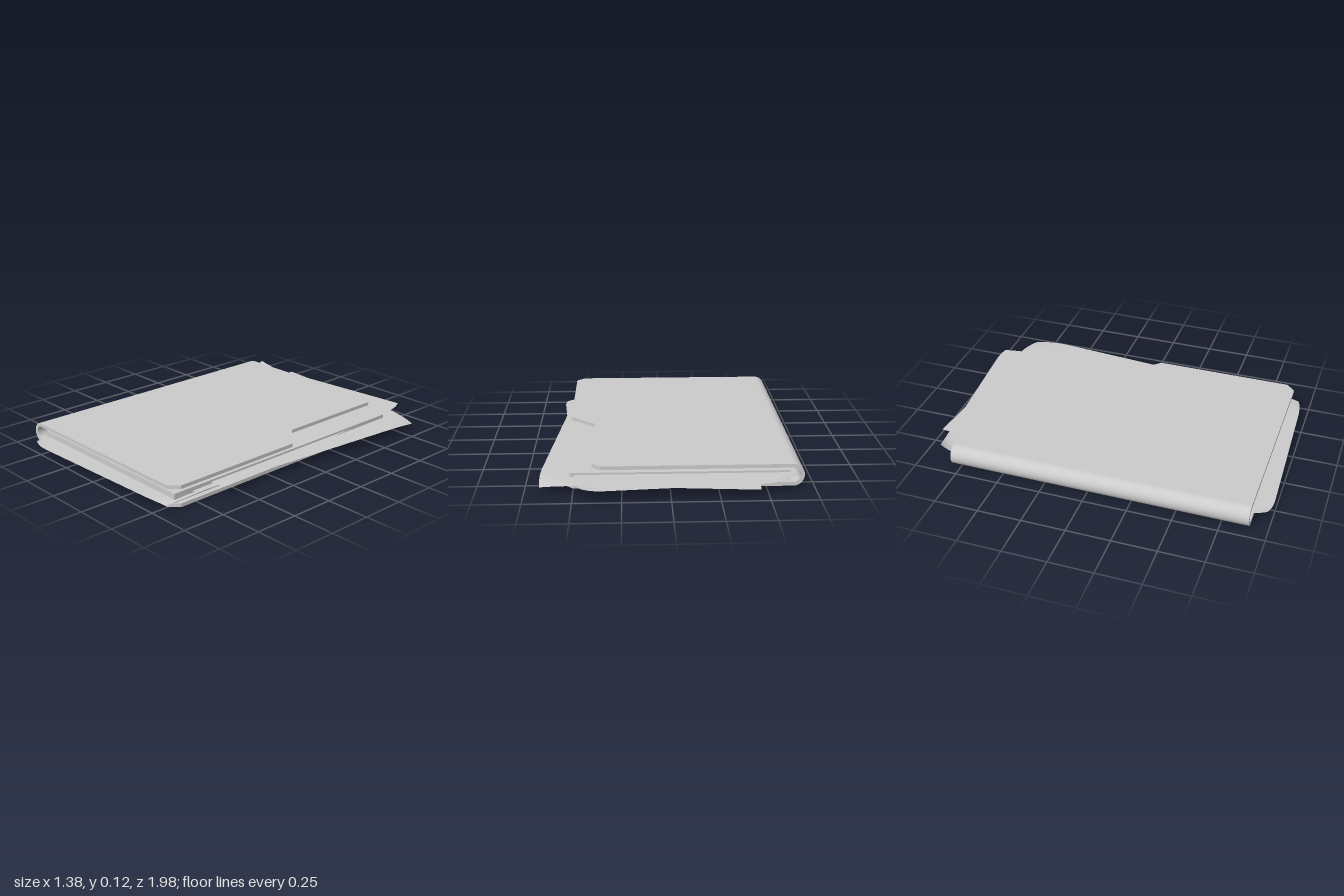
import * as THREE from 'three';

const material = new THREE.MeshStandardMaterial({ color: 0xcccccc });
const paper = new THREE.MeshStandardMaterial({ color: 0xcccccc, side: THREE.DoubleSide });

const BACK = -0.8, FRONT = 0.9, FOLD_X = -0.64, EDGE = 0.547;
const THICK = 0.02, RADIUS = 0.06;
const PAGE_W = 1.15, PAGE_L = 1.63;

function addMesh(group, name, geometry, mat = material) {
  const mesh = new THREE.Mesh(geometry, mat);
  mesh.name = name;
  group.add(mesh);
  return mesh;
}

// Flat board from an outline of [x, z] points, with its underside at y
function board(outline, y) {
  const shape = new THREE.Shape(outline.map(([x, z]) => new THREE.Vector2(x, -z)));
  const geometry = new THREE.ExtrudeGeometry(shape, { depth: THICK, bevelEnabled: false });
  return geometry.rotateX(-Math.PI / 2).translate(0, y, 0);
}

// Half-round fold that joins the two boards
function spine() {
  const shape = new THREE.Shape();
  shape.absarc(FOLD_X, RADIUS, RADIUS, Math.PI / 2, Math.PI * 1.5, false);
  shape.absarc(FOLD_X, RADIUS, RADIUS - THICK, Math.PI * 1.5, Math.PI / 2, true);
  const geometry = new THREE.ExtrudeGeometry(shape, {
    depth: FRONT - BACK, bevelEnabled: false, curveSegments: 20,
  });
  return geometry.translate(0, 0, BACK);
}

// Loose page; each curl is [side x, side z, lift, size] for one corner
function page(curls) {
  const geometry = new THREE.PlaneGeometry(PAGE_W, PAGE_L, 40, 56).rotateX(-Math.PI / 2);
  const pos = geometry.attributes.position;
  for (let i = 0; i < pos.count; i++) {
    let x = pos.getX(i), z = pos.getZ(i), y = 0;
    for (const [sx, sz, lift, size] of curls) {
      const inset = (PAGE_W / 2 - x * sx) + (PAGE_L / 2 - z * sz);
      const t = Math.max(0, 1 - inset / size);
      y += lift * t * t;
      x -= sx * 0.022 * t * t;
      z -= sz * 0.022 * t * t;
    }
    pos.setXYZ(i, x, y, z);
  }
  geometry.computeVertexNormals();
  return geometry;
}

export function createModel() {
  const folder = new THREE.Group();
  folder.name = 'paperFolder';

  // Cover: full lower board, upper board with a stepped cut-out, rounded fold
  const cover = new THREE.Group();
  cover.name = 'cover';
  folder.add(cover);
  const frontCorner = [[FOLD_X, FRONT], [EDGE - 0.05, FRONT], [EDGE, FRONT - 0.05]];
  addMesh(cover, 'lowerBoard', board([
    ...frontCorner, [EDGE, BACK + 0.05], [EDGE - 0.05, BACK], [FOLD_X, BACK],
  ], 0));
  addMesh(cover, 'upperBoard', board([
    ...frontCorner, [EDGE, 0.05], [0.405, -0.09],
    [0.405, BACK + 0.045], [0.36, BACK], [FOLD_X, BACK],
  ], 2 * RADIUS - THICK));
  addMesh(cover, 'spine', spine());

  // Neat block of pages
  const stack = addMesh(folder, 'pageStack', new THREE.BoxGeometry(PAGE_W, 0.05, PAGE_L));
  stack.position.set(-0.055, 0.046, 0.055);

  // Loose pages slipping out at different angles
  const loose = [
    { at: [-0.028, 0.06, -0.142], turn: 5, curls: [
      [-1, -1, 0.04, 0.2], [1, -1, 0.008, 0.14], [1, 1, -0.006, 0.14]] },
    { at: [0.047, 0.05, -0.112], turn: -5.2, curls: [[1, -1, -0.02, 0.25]] },
    { at: [-0.056, 0.04, 0.16], turn: 2.1, curls: [
      [-1, 1, 0.01, 0.14], [1, 1, -0.012, 0.2]] },
  ];
  loose.forEach(({ at, turn, curls }, i) => {
    const sheet = addMesh(folder, `loosePage${i + 1}`, page(curls), paper);
    sheet.position.set(...at);
    sheet.rotation.y = THREE.MathUtils.degToRad(turn);
  });

  return folder;
}
